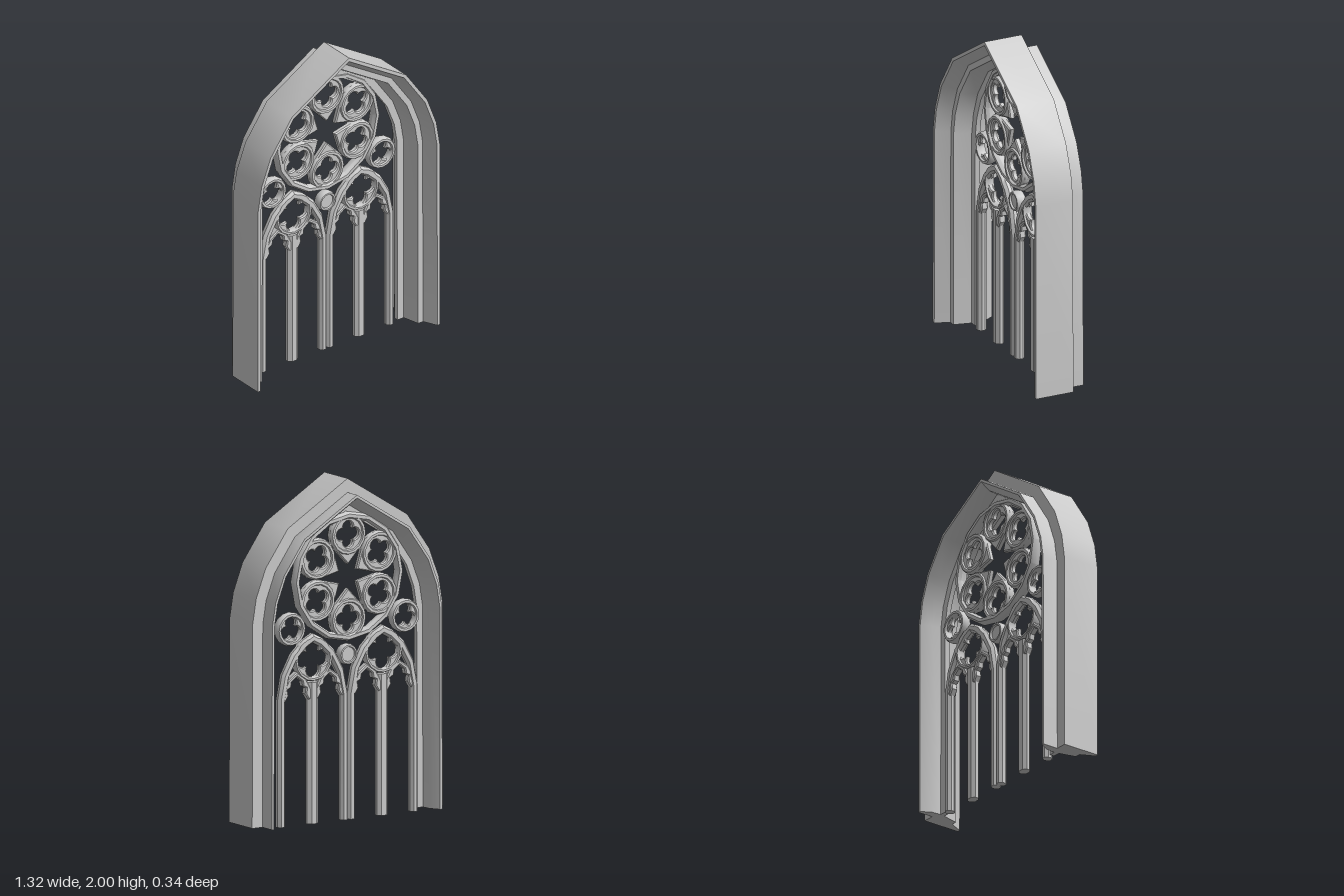
import * as THREE from 'three';
import { toCreasedNormals, mergeGeometries } from 'three/addons/utils/BufferGeometryUtils.js';

const stone = new THREE.MeshStandardMaterial({ color: 0xcccccc });
const V = (x, y) => new THREE.Vector2(x, y);
const ZC = -0.047; // middle depth of the tracery

// Sweep a counter-clockwise (offset, z) profile along a 2D path with mitred corners.
function sweep(path, profile, closed = false) {
  const n = path.length, m = profile.length, pos = [];
  const right = (a, b) => { const d = b.clone().sub(a).normalize(); return V(d.y, -d.x); };
  const rings = path.map((p, i) => {
    const prev = closed || i > 0 ? right(path[(i + n - 1) % n], p) : null;
    const next = closed || i < n - 1 ? right(p, path[(i + 1) % n]) : null;
    const a = prev || next, b = next || prev;
    const miter = a.clone().add(b).divideScalar(1 + a.dot(b));
    return profile.map(([d, z]) => [p.x + miter.x * d, p.y + miter.y * d, z]);
  });
  const tri = (...c) => c.forEach(v => pos.push(...v));
  for (let i = 0; i < (closed ? n : n - 1); i++) {
    const r = rings[i], s = rings[(i + 1) % n];
    for (let j = 0; j < m; j++) {
      const k = (j + 1) % m;
      tri(r[j], s[j], s[k]);
      tri(r[j], s[k], r[k]);
    }
  }
  if (!closed) {
    const e = rings[n - 1];
    for (const [a, b, c] of THREE.ShapeUtils.triangulateShape(profile.map(q => V(...q)), [])) {
      tri(rings[0][a], rings[0][b], rings[0][c]);
      tri(e[a], e[c], e[b]);
    }
  }
  const g = new THREE.BufferGeometry();
  g.setAttribute('position', new THREE.Float32BufferAttribute(pos, 3));
  return toCreasedNormals(g, 0.6);
}

// Moulded bar: narrow faces front and back, chamfers to a wider waist.
function bar(w, h = 0.028) {
  const a = w / 2, f = a * 0.45, s = h * 0.35;
  return [[-a, -s], [-f, -h], [f, -h], [a, -s], [a, s], [f, h], [-f, h], [-a, s]].map(([d, z]) => [d, z + ZC]);
}

// Clockwise ring of points
const circle = (r, n) => Array.from({ length: n }, (_, i) => {
  const t = Math.PI / 2 - i / n * Math.PI * 2;
  return V(r * Math.cos(t), r * Math.sin(t));
});

// Outline of n round lobes meeting in cusps
function foil(n, a, b, turn = Math.PI / 2) {
  const h = Math.PI / n, t = a * Math.cos(h) + Math.sqrt(b * b - (a * Math.sin(h)) ** 2);
  const phi = Math.atan2(t * Math.sin(h), t * Math.cos(h) - a), pts = [];
  for (let i = 0; i < n; i++) {
    const th = turn + i * 2 * h;
    for (let k = 0; k < 8; k++) {
      const q = th - phi + 2 * phi * k / 8;
      pts.push(V(a * Math.cos(th) + b * Math.cos(q), a * Math.sin(th) + b * Math.sin(q)));
    }
  }
  return pts;
}

// Plate centred in the tracery depth, with chamfered edges
function plate(outline, hole, depth) {
  const s = new THREE.Shape(outline), c = 0.007;
  if (hole) s.holes.push(new THREE.Path(hole));
  const g = new THREE.ExtrudeGeometry(s, {
    depth: depth - 2 * c, bevelEnabled: true, bevelThickness: c, bevelSize: c, bevelOffset: -c, bevelSegments: 1,
  });
  g.translate(0, 0, ZC - depth / 2 + c);
  return toCreasedNormals(g, 0.6);
}

function add(parent, name, geo, x = 0, y = 0, turn = 0) {
  const m = new THREE.Mesh(geo, stone);
  m.name = name;
  m.position.set(x, y, 0);
  m.rotation.z = turn;
  parent.add(m);
  return m;
}

// Rim plus cusped plate
function roundel(r, w, n, a, b) {
  const rim = sweep(circle(r - w / 2, 16), bar(w), true);
  const web = plate(circle(r - w * 0.4, 16), foil(n, a, b), 0.034);
  for (const g of [rim, web]) g.deleteAttribute('uv');
  return mergeGeometries([rim, web]);
}

// Left half of an arch path completed by its mirror image
const mirrorPath = half => [...half, ...half.slice(0, -1).reverse().map(p => V(-p.x, p.y))];

export function createModel() {
  const model = new THREE.Group();
  model.name = 'tracedWindow';

  // Pointed outer frame with stepped splays on both faces
  const archHalf = [V(-0.66, 0.016), V(-0.657, 1.21), V(-0.632, 1.36), V(-0.567, 1.53), V(-0.413, 1.748), V(0, 2)];
  add(model, 'outerFrame', sweep(mirrorPath(archHalf), [
    [0, -0.07], [0.07, -0.07], [0.07, -0.17], [0.085, -0.17], [0.12, -0.11], [0.125, -0.05], [0.165, -0.05],
    [0.165, -0.02], [0.12, -0.02], [0.095, 0.085], [0.06, 0.085], [0.02, 0.17], [0, 0.17],
  ]));

  const tracery = new THREE.Group();
  tracery.name = 'tracery';
  tracery.position.x = -0.008;
  model.add(tracery);

  // Rose: ring with six pointed roundels around a star opening
  const rose = new THREE.Group();
  rose.name = 'rose';
  rose.position.y = 1.424;
  tracery.add(rose);
  add(rose, 'roseRing', sweep(circle(0.358, 16), bar(0.042, 0.032), true));
  const drop = [V(0, -0.178)];
  for (let i = 0; i <= 18; i++) {
    const t = (-45 + 270 * i / 18) * Math.PI / 180;
    drop.push(V(0.122 * Math.cos(t), 0.122 * Math.sin(t)));
  }
  const petalWeb = plate(drop, foil(4, 0.043, 0.034), 0.036);
  const petalRim = sweep(circle(0.107, 16), bar(0.032), true);
  for (let i = 0; i < 6; i++) {
    const t = i * Math.PI / 3, x = -0.247 * Math.sin(t), y = 0.247 * Math.cos(t);
    add(rose, 'rosePetal', petalWeb, x, y, t);
    add(rose, 'rosePetalRim', petalRim, x, y, t);
  }

  // Roundels filling the spandrels
  add(tracery, 'centreRoundel', roundel(0.062, 0.022, 4, 0.024, 0.02), 0, 0.968);
  const corner = roundel(0.099, 0.03, 3, 0.038, 0.036);
  const quatrefoil = roundel(0.132, 0.026, 4, 0.061, 0.046);

  // Paired sub-arches, each over two cusped lancets
  const subArch = sweep(mirrorPath([
    V(-0.217, 0), V(-0.217, 0.74), V(-0.189, 0.88), V(-0.128, 0.99), V(-0.055, 1.058), V(0, 1.087),
  ]), bar(0.05));
  const mullion = sweep([V(0, 0), V(0, 0.83)], bar(0.074));
  const side = pts => pts.map(([x, y]) => V(x, y));
  const outer = side([[-0.1, 0.73], [-0.098, 0.79], [-0.062, 0.855], [0, 0.9]]);
  const inner = side([[-0.08, 0.73], [-0.058, 0.765], [-0.064, 0.8], [-0.04, 0.812], [-0.036, 0.843], [0, 0.87]]);
  const lancet = plate([...mirrorPath(outer), ...mirrorPath(inner).reverse()], null, 0.045);
  for (const s of [-1, 1]) {
    const x = s * 0.242;
    add(tracery, 'cornerTrefoil', corner, s * 0.394, 1.153);
    add(tracery, 'subArch', subArch, x);
    add(tracery, 'mullion', mullion, x);
    add(tracery, 'quatrefoil', quatrefoil, x, 0.965);
    for (const t of [-1, 1]) add(tracery, 'lancetHead', lancet, x + t * 0.113);
  }
  return model;
}
